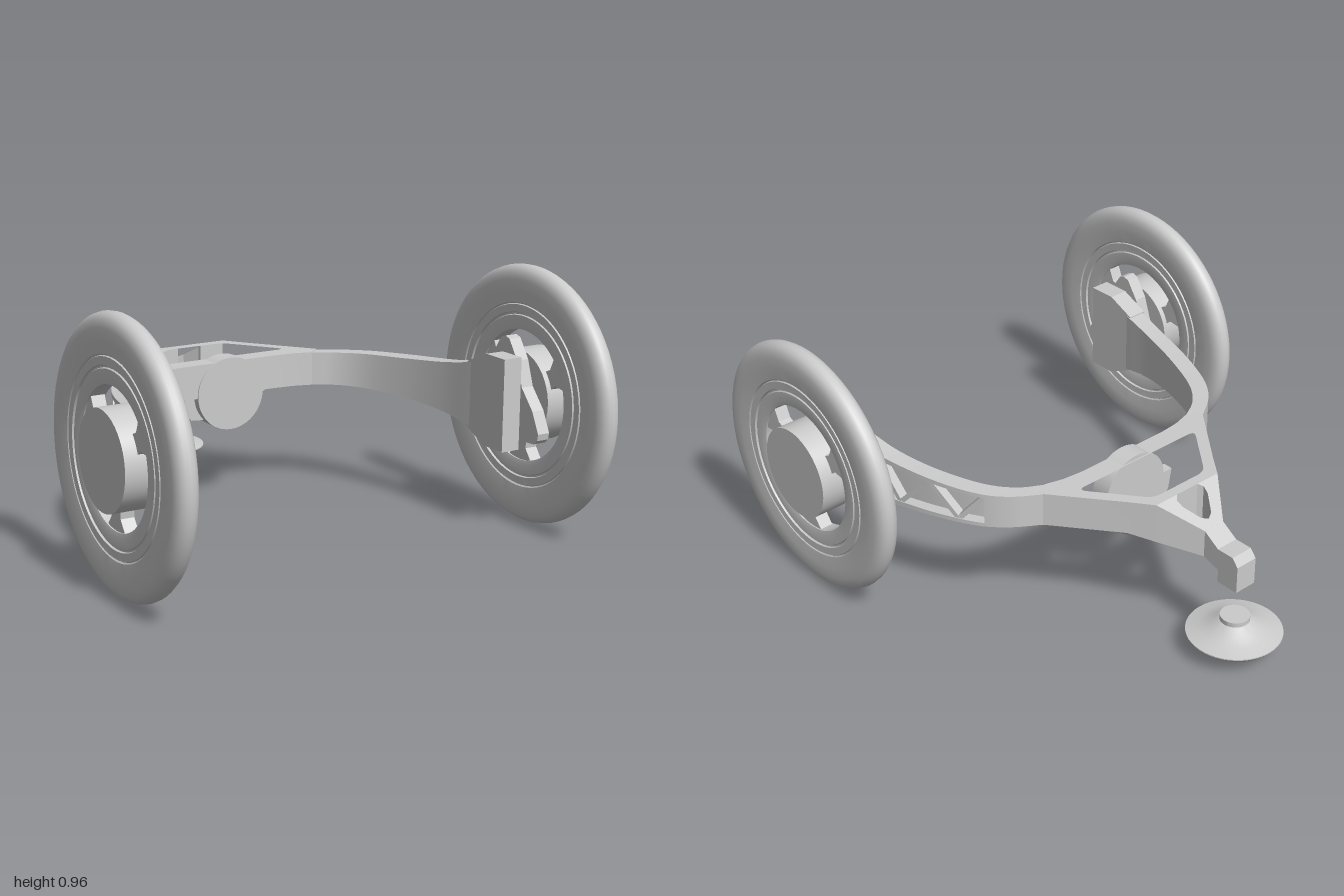
import * as THREE from 'three';
import { toCreasedNormals } from 'three/addons/utils/BufferGeometryUtils.js';

const grey = new THREE.MeshStandardMaterial({ color: 0xcccccc });
const WHEEL = { x: 0.83, y: 0.483, z: 0.52 };
const v2 = (p) => p.map(([x, y]) => new THREE.Vector2(x, y));

function add(parent, name, geometry) {
  const mesh = new THREE.Mesh(geometry, grey);
  mesh.name = name;
  parent.add(mesh);
  return mesh;
}

// Rounds the corners of a closed polygon
function roundPath(path, points, r) {
  const p = v2(points), n = p.length;
  p.forEach((c, i) => {
    const a = p[(i + n - 1) % n], b = p[(i + 1) % n];
    const s = c.clone().add(a.clone().sub(c).setLength(r));
    const e = c.clone().add(b.clone().sub(c).setLength(r));
    if (i === 0) path.moveTo(s.x, s.y); else path.lineTo(s.x, s.y);
    path.quadraticCurveTo(c.x, c.y, e.x, e.y);
  });
  path.closePath();
  return path;
}

// Extrudes a (z, y) outline between two x values
function sideExtrude(points, x0, x1) {
  const g = new THREE.ExtrudeGeometry(new THREE.Shape(v2(points)), { depth: x1 - x0, bevelEnabled: false });
  return g.rotateY(-Math.PI / 2).translate(x1, 0, 0);
}

// Extrudes an (x, z) plan and fits it to the frame's sloping top and bottom
function planExtrude(shape) {
  const g = new THREE.ExtrudeGeometry(shape, { depth: 1, bevelEnabled: false, curveSegments: 5 });
  g.rotateX(Math.PI / 2);
  const pos = g.attributes.position;
  for (let i = 0; i < pos.count; i++) {
    const z = pos.getZ(i);
    const top = 0.55 - 0.65 * Math.max(0, -0.57 - z);
    const low = 0.42 - 0.3 * Math.max(0, -0.49 - z);
    pos.setY(i, pos.getY(i) > -0.5 ? top : low);
  }
  return toCreasedNormals(g, 0.4);
}

// Curved arm: paths of the inner and outer edges seen from above
const curve = (pts) => new THREE.CatmullRomCurve3(pts.map(([x, z]) => new THREE.Vector3(x, 0, z)));
const innerEdge = curve([[0.35, -0.213], [0.43, -0.165], [0.5, -0.085], [0.575, 0.09], [0.622, 0.27], [0.642, 0.42]]);
const outerEdge = curve([[0.395, -0.255], [0.49, -0.19], [0.56, -0.11], [0.632, 0.05], [0.69, 0.27], [0.715, 0.42]]);

function armPoint(t, u, v, s) {
  const p = innerEdge.getPoint(t).lerp(outerEdge.getPoint(t), u);
  return new THREE.Vector3(p.x * s, 0.484 + v * (0.064 + 0.058 * t ** 3), p.z);
}

function armGeometry(s) {
  const stations = [];
  for (let i = 0; i <= 24; i++) {
    const t = i / 24;
    if (i === 9) stations.push([t, 1]);
    stations.push([t, i < 9 ? 1 : 0.4]);
  }
  const verts = [], index = [];
  const tri = (a, b, c) => (s > 0 ? index.push(a, b, c) : index.push(a, c, b));
  stations.forEach(([t, d], k) => {
    const section = [[0, -1], [1, -1], [1, -0.78], [d, -0.78], [d, 0.78], [1, 0.78], [1, 1], [0, 1]];
    section.forEach(([u, v], j) => {
      verts.push(...armPoint(t, u, v, s).toArray());
      if (k === 0) return;
      const a = (k - 1) * 8 + j, b = (k - 1) * 8 + ((j + 1) % 8);
      tri(a, a + 8, b);
      tri(b, a + 8, b + 8);
    });
  });
  const g = new THREE.BufferGeometry();
  g.setAttribute('position', new THREE.Float32BufferAttribute(verts, 3));
  // Section runs inner to outer then up, so the outward side is the reverse order
  for (let i = 0; i < index.length; i += 3) [index[i + 1], index[i + 2]] = [index[i + 2], index[i + 1]];
  g.setIndex(index);
  return toCreasedNormals(g, 0.5);
}

// Tyre and rim cross-section, inner bore out to the tread and back
function tyreGeometry() {
  const half = [[0.245, 0.03], [0.262, 0.034], [0.297, 0.034], [0.3, 0.029], [0.306, 0.029], [0.309, 0.036],
    [0.337, 0.037], [0.34, 0.032], [0.345, 0.037], [0.39, 0.042], [0.43, 0.042], [0.455, 0.038],
    [0.47, 0.028], [0.479, 0.015]];
  const profile = [...half.map(([r, y]) => [r, -y]), [0.482, 0], ...half.slice().reverse(), [0.245, -0.03]];
  return toCreasedNormals(new THREE.LatheGeometry(v2(profile), 72).rotateZ(-Math.PI / 2), 0.6);
}

const polar = (deg, r) => [
  WHEEL.z + r * Math.cos(THREE.MathUtils.degToRad(deg)),
  WHEEL.y + r * Math.sin(THREE.MathUtils.degToRad(deg)),
];

function buildSide(s) {
  const side = new THREE.Group();
  side.name = s > 0 ? 'leftSide' : 'rightSide';
  const span = (pts, a, b) => sideExtrude(pts, Math.min(s * a, s * b), Math.max(s * a, s * b));
  const disc = (name, r, a, b) => add(side, name,
    new THREE.CylinderGeometry(r, r, b - a, 48).rotateZ(Math.PI / 2))
    .position.set(s * (a + b) / 2, WHEEL.y, WHEEL.z);

  // Wheel
  add(side, 'tyre', tyreGeometry()).position.set(s * WHEEL.x, WHEEL.y, WHEEL.z);
  disc('hubMotor', 0.175, 0.785, 0.905);
  disc('axle', 0.06, 0.7, 0.79);
  for (const a of [30, 150, 270]) {
    add(side, 'spoke', span([polar(a - 13, 0.16), polar(a - 9, 0.2), polar(a - 15, 0.25), polar(a, 0.258),
      polar(a + 15, 0.25), polar(a + 9, 0.2), polar(a + 13, 0.16)], 0.805, 0.855));
  }

  // Three-lobed mount between frame and wheel
  const lobes = [];
  for (const a of [90, 210, 330]) {
    lobes.push(polar(a - 60, 0.12), polar(a - 25, 0.17), polar(a - 6, 0.226), polar(a, 0.233),
      polar(a + 6, 0.226), polar(a + 25, 0.17));
  }
  add(side, 'hubMount', span(lobes, 0.72, 0.77));

  // Frame arm with its end plate
  add(side, 'arm', armGeometry(s));
  add(side, 'endPlate', span([[0.62, 0.31], [0.62, 0.655], [0.51, 0.655], [0.4, 0.606], [0.4, 0.362],
    [0.51, 0.31]], 0.642, 0.718));

  // Zigzag ribs inside the arm's outer pocket
  const stops = [0.375, 0.5, 0.62, 0.74, 0.86, 0.98];
  for (let i = 0; i < stops.length - 1; i++) {
    const v = i % 2 ? -0.82 : 0.82;
    const a = armPoint(stops[i], 0.68, v, s), b = armPoint(stops[i + 1], 0.68, -v, s);
    const rib = add(side, 'armRib', new THREE.BoxGeometry(0.036, 0.018, a.distanceTo(b)));
    rib.position.copy(a).lerp(b, 0.5);
    rib.lookAt(b);
  }
  return side;
}

export function createModel() {
  const model = new THREE.Group();
  model.name = 'rollingChassis';
  for (const s of [1, -1]) model.add(buildSide(s));

  // Crossbar and triangular frame
  const frontHalf = [[0, -0.24], [0.2, -0.24], [0.28, -0.232], [0.35, -0.213], [0.395, -0.255], [0.21, -0.49], [0.15, -0.57]];
  const mirror = (pts) => pts.slice().reverse().map(([x, z]) => [-x, z]);
  const front = new THREE.Shape(v2([...frontHalf, ...mirror(frontHalf.slice(1))]));
  front.holes.push(roundPath(new THREE.Path(),
    [[-0.29, -0.317], [0.29, -0.317], [0.125, -0.53], [-0.125, -0.53]], 0.035));
  add(model, 'frame', planExtrude(front));

  // Tapered rear of the frame with its small opening
  const rearHalf = [[0.15, -0.57], [0.045, -0.705]];
  const notch = [[-0.05, -0.57], [-0.066, -0.585], [-0.062, -0.61], [-0.025, -0.665], [0, -0.678],
    [0.025, -0.665], [0.062, -0.61], [0.066, -0.585], [0.05, -0.57]];
  add(model, 'frameTail', planExtrude(new THREE.Shape(v2([...rearHalf, ...mirror(rearHalf), ...notch]))));

  // Stem that drops down to the caster
  add(model, 'casterStem', sideExtrude([[-0.685, 0.475], [-0.77, 0.42], [-0.84, 0.42], [-0.865, 0.39],
    [-0.865, 0.285], [-0.775, 0.285], [-0.775, 0.335], [-0.685, 0.361]], -0.045, 0.045));

  // Round boss and side bracket on the crossbar
  add(model, 'crossbarBoss', new THREE.CylinderGeometry(0.141, 0.141, 0.076, 48).rotateX(Math.PI / 2))
    .position.set(0, 0.425, -0.273);
  const bracket = new THREE.Shape(v2([[-0.185, 0.43], [-0.17, 0.35], [-0.155, 0.33], [-0.09, 0.325],
    [0.09, 0.36], [0.14, 0.395], [0.205, 0.43]]));
  add(model, 'crossbarBracket', new THREE.ExtrudeGeometry(bracket, { depth: 0.04, bevelEnabled: false }))
    .position.z = -0.308;

  // Domed caster pad
  const pad = [[0, 0], [0.04, 0.003], [0.08, 0.013], [0.12, 0.032], [0.15, 0.053], [0.174, 0.078],
    [0.174, 0.082], [0.13, 0.093], [0.085, 0.11], [0.062, 0.126], [0.054, 0.13], [0.054, 0.148], [0, 0.148]];
  add(model, 'casterPad', toCreasedNormals(new THREE.LatheGeometry(v2(pad), 48), 0.5))
    .position.z = -0.825;
  return model;
}
